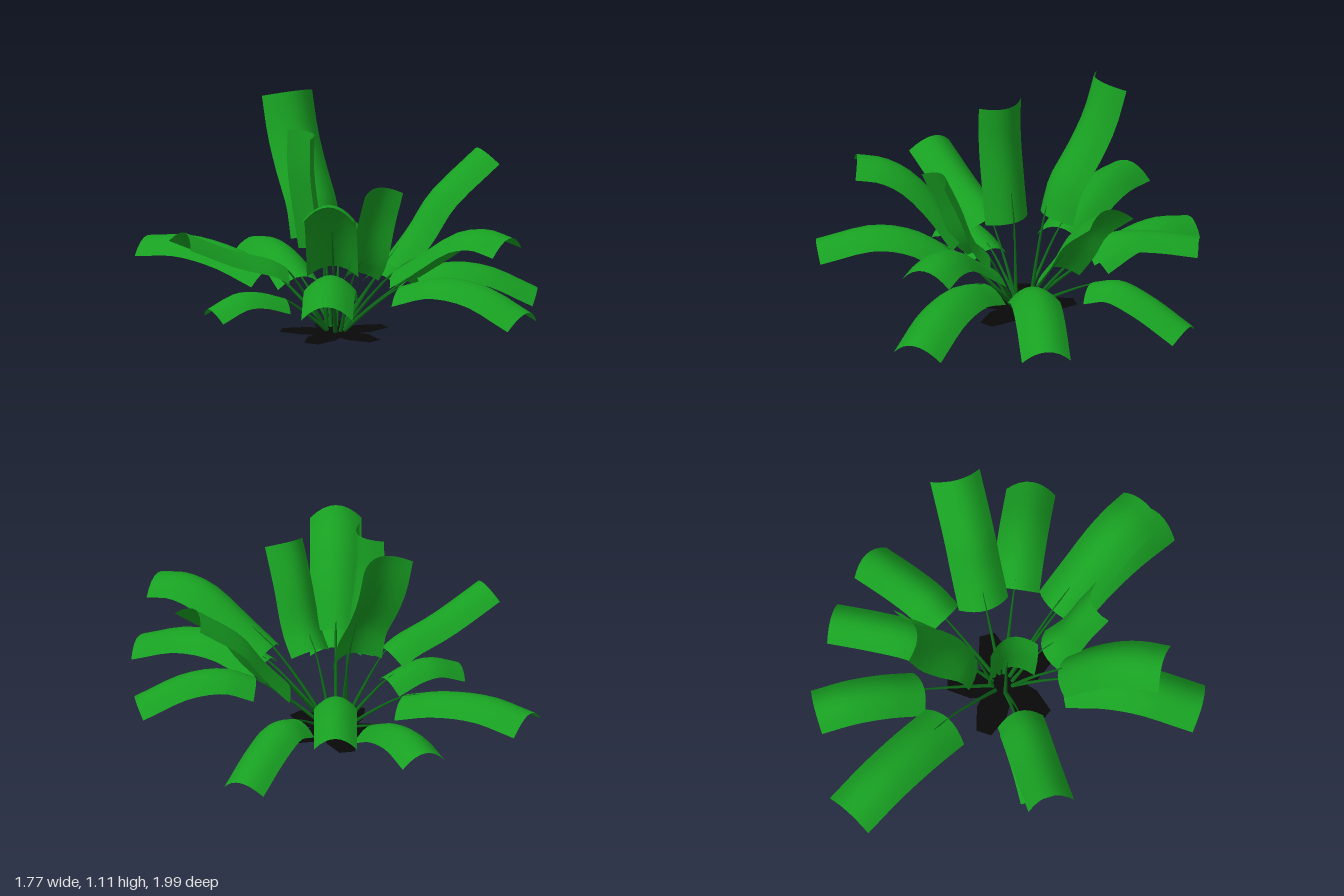
import * as THREE from 'three';

const CENTER_X = -0.04;

// Flat rosette with five blunt, tapering arms
function baseGeometry() {
  const points = [];
  for (let k = 0; k < 5; k++) {
    for (const [r, deg] of [[0.12, -36], [0.17, -27], [0.27, -8], [0.27, 8], [0.17, 27]]) {
      const a = THREE.MathUtils.degToRad(k * 72 + deg);
      points.push(new THREE.Vector2(r * Math.cos(a), r * Math.sin(a)));
    }
  }
  return new THREE.ShapeGeometry(new THREE.Shape(points)).rotateX(-Math.PI / 2);
}

// Curved blade: an arched cross-section swept along the crown line (outward = +x)
function leafGeometry(width, crown) {
  const along = 10, across = 8, depth = width * 0.3;
  const pos = [], index = [];
  for (let i = 0; i <= along; i++) {
    const p = crown.getPoint(i / along), t = crown.getTangent(i / along);
    for (let j = 0; j <= across; j++) {
      const s = (j / across) * 2 - 1;
      const drop = depth * s * s;
      pos.push(p.x + t.y * drop, p.y - t.x * drop, (s * width) / 2);
      if (i < along && j < across) {
        const a = i * (across + 1) + j, b = a + across + 1;
        index.push(a, a + 1, b, a + 1, b + 1, b);
      }
    }
  }
  const geo = new THREE.BufferGeometry();
  geo.setAttribute('position', new THREE.Float32BufferAttribute(pos, 3));
  geo.setIndex(index);
  geo.computeVertexNormals();
  return geo;
}

// Thin tapering stalk from the root to the leaf, running on as a midrib
function stemGeometry(crown) {
  const start = crown.getPoint(0), rib = crown.getPoint(0.3);
  const path = new THREE.CatmullRomCurve3([
    new THREE.Vector3(0.05, 0.015, 0),
    new THREE.Vector3(0.05 + (start.x - 0.05) * 0.45, start.y * 0.52, 0),
    start.setY(start.y - 0.005),
    rib.setY(rib.y - 0.006),
  ]);
  const along = 12, sides = 6;
  const geo = new THREE.TubeGeometry(path, along, 0.009, sides);
  const pos = geo.attributes.position;
  const v = new THREE.Vector3();
  for (let k = 0; k < pos.count; k++) {
    const u = Math.floor(k / (sides + 1)) / along;
    const c = path.getPointAt(u);
    v.fromBufferAttribute(pos, k).sub(c).multiplyScalar(1.2 - u).add(c);
    pos.setXYZ(k, v.x, v.y, v.z);
  }
  return geo;
}

export function createModel() {
  const plant = new THREE.Group();
  plant.name = 'plant';
  const leafMat = new THREE.MeshStandardMaterial({ color: 0x18a022, side: THREE.DoubleSide });
  const stemMat = new THREE.MeshStandardMaterial({ color: 0x0c6a18 });
  const baseMat = new THREE.MeshStandardMaterial({ color: 0x080808, side: THREE.DoubleSide });

  const base = new THREE.Mesh(baseGeometry(), baseMat);
  base.name = 'base';
  base.position.x = CENTER_X;
  plant.add(base);

  // One leaf on its stem: compass angle (0 = +x, 90 = +z), width,
  // then [radius, height] points of the crown line from start to tip
  const addFrond = (name, angle, width, ...line) => {
    const crown = new THREE.CatmullRomCurve3(line.map(([r, y]) => new THREE.Vector3(r, y, 0)));
    const leaf = new THREE.Mesh(leafGeometry(width, crown), leafMat);
    leaf.name = 'leaf';
    const stem = new THREE.Mesh(stemGeometry(crown), stemMat);
    stem.name = 'stem';
    const frond = new THREE.Group();
    frond.name = name;
    frond.add(leaf, stem);
    frond.position.x = CENTER_X;
    frond.rotation.y = -THREE.MathUtils.degToRad(angle);
    plant.add(frond);
  };

  // Upright fronds
  addFrond('tallBackFrond', -90, 0.275, [0.13, 0.46], [0.18, 0.62], [0.29, 0.78], [0.375, 0.93], [0.435, 1.11]);
  addFrond('uprightFrontFrond', 90, 0.21, [0.2, 0.34], [0.28, 0.43], [0.36, 0.63], [0.45, 0.82]);
  addFrond('uprightRightFrond', 180, 0.24, [0.07, 0.42], [0.1, 0.6], [0.13, 0.82], [0.13, 1.01]);
  addFrond('uprightLeftFrond', 0, 0.25, [0.275, 0.32], [0.41, 0.47], [0.53, 0.63], [0.785, 0.83]);

  // Middle fronds
  addFrond('middleFrontRightFrond', 120, 0.25, [0.28, 0.4], [0.4, 0.58], [0.54, 0.73], [0.67, 0.8], [0.8, 0.82]);
  addFrond('middleFrontLeftFrond', 60, 0.26, [0.35, 0.36], [0.5, 0.46], [0.7, 0.59], [0.86, 0.625], [1.0, 0.6]);
  addFrond('middleRightFrond', 180, 0.23, [0.28, 0.36], [0.36, 0.405], [0.56, 0.47], [0.825, 0.59]);

  // Low drooping fronds
  addFrond('lowRightFrond', 180, 0.2, [0.28, 0.2], [0.42, 0.245], [0.54, 0.25], [0.69, 0.19]);
  addFrond('lowFrontRightFrond', 120, 0.25, [0.31, 0.29], [0.52, 0.41], [0.72, 0.44], [1.0, 0.37]);
  addFrond('lowFrontLeftFrond', 60, 0.26, [0.38, 0.28], [0.6, 0.35], [0.84, 0.34], [1.1, 0.24]);
  addFrond('lowLeftFrontFrond', 24.5, 0.24, [0.39, 0.29], [0.54, 0.34], [0.74, 0.32], [0.98, 0.21]);
  addFrond('lowLeftBackFrond', -30, 0.22, [0.38, 0.21], [0.52, 0.25], [0.7, 0.2], [0.92, 0.09]);
  addFrond('lowBackLeftFrond', -60, 0.21, [0.32, 0.32], [0.45, 0.39], [0.65, 0.39], [0.86, 0.36]);
  addFrond('lowBackFrond', -87.5, 0.23, [0.39, 0.19], [0.57, 0.27], [0.76, 0.3], [0.94, 0.27]);
  addFrond('lowBackRightFrond', -120, 0.26, [0.38, 0.27], [0.6, 0.34], [0.85, 0.37], [1.085, 0.34]);
  return plant;
}
